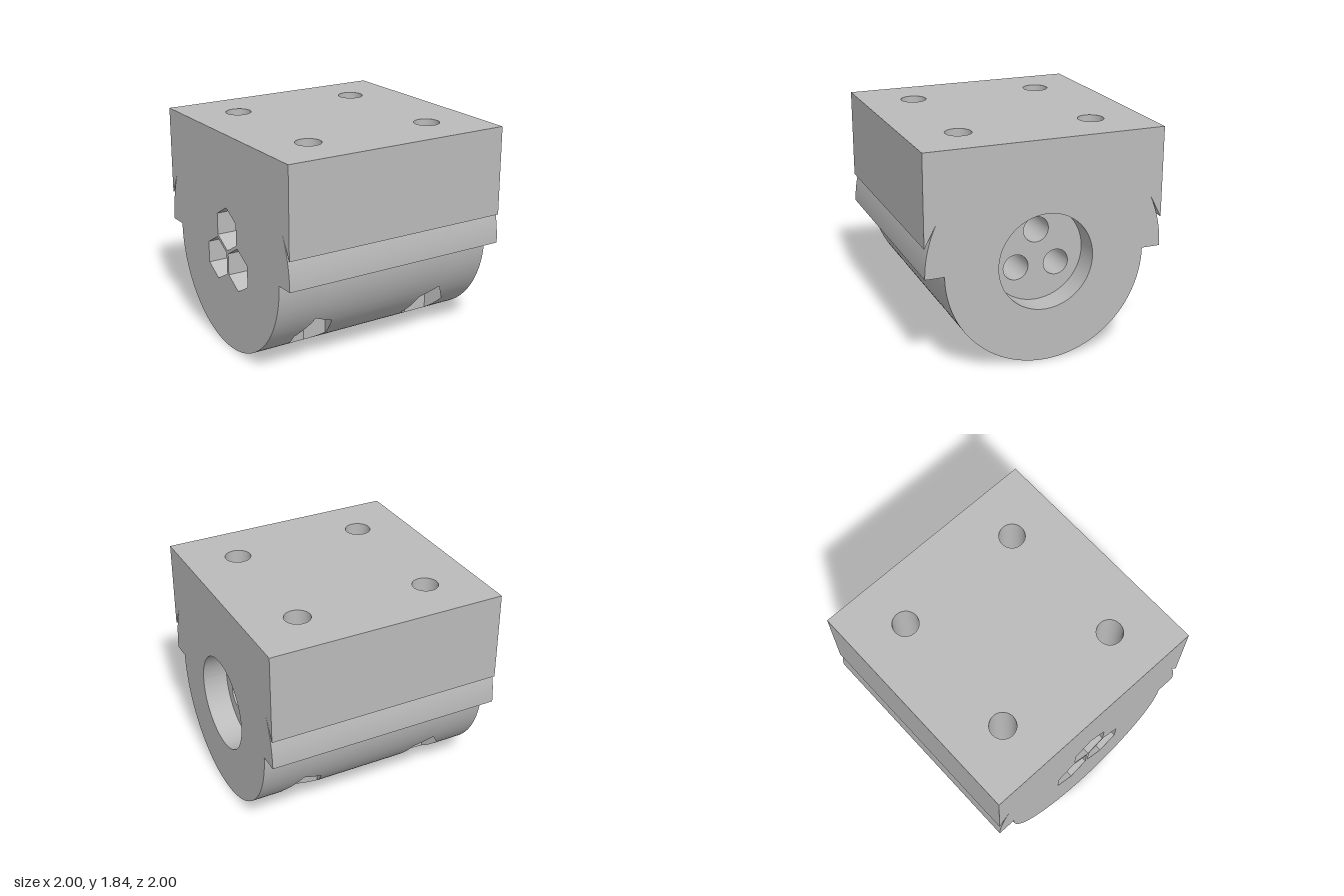
import * as THREE from 'three';

const C = 0.842, R = 0.842, TOP = 1.84;   // drum axis height, drum radius, block top
const BOLT = 0.565, BORE = 0.107;         // bolt offset and bore radius
const HEX = 0.184;                        // nut pocket corner radius
const NUT_Y = 0.85, NUT_X = -0.5;         // nut pocket floors
const RECESS = 0.4, RECESS_X = 0.79;      // round recess radius and floor
const rad = THREE.MathUtils.degToRad;

// Smooth surface through rows of [x, y, z] points
function sheet(rows) {
  const n = rows[0].length, index = [];
  for (let r = 0; r < rows.length - 1; r++) {
    for (let c = 0; c < n - 1; c++) {
      const a = r * n + c, b = a + n;
      index.push(a, b, a + 1, b, b + 1, a + 1);
    }
  }
  const g = new THREE.BufferGeometry();
  g.setAttribute('position', new THREE.Float32BufferAttribute(rows.flat(2), 3));
  g.setIndex(index);
  g.computeVertexNormals();
  return g;
}

// Points of a regular polygon or circle, closed
function ring(cx, cy, radius, sides, startDeg = 0) {
  return Array.from({ length: sides + 1 }, (_, i) => {
    const t = rad(startDeg) + (i / sides) * Math.PI * 2;
    return [cx + radius * Math.cos(t), cy + radius * Math.sin(t)];
  });
}
const toPath = (pts, Type = THREE.Path) =>
  new Type(pts.slice(0, -1).map(p => new THREE.Vector2(p[0], p[1])));

// Flat plate outline with holes, in the XY plane
function plate(outline, holes) {
  const s = toPath(outline, THREE.Shape);
  s.holes = holes.map(h => toPath(h));
  return new THREE.ShapeGeometry(s);
}

const drumY = z => C - Math.sqrt(Math.max(0, R * R - z * z));

// Where a nut pocket opens along x at depth z
function pocketSpan(z) {
  const reach = HEX * Math.cos(rad(15));
  const dz = THREE.MathUtils.clamp(Math.abs(z) - BOLT, -reach, reach);
  let lo = -Infinity, hi = Infinity;
  for (let k = 0; k < 6; k++) {
    const t = rad(45 + 60 * k), c = Math.cos(t);
    const x = (HEX * Math.cos(rad(30)) - dz * Math.sin(t)) / c;
    if (c > 0) hi = Math.min(hi, x); else lo = Math.max(lo, x);
  }
  return [BOLT + lo, BOLT + Math.max(lo, hi)];
}

export function createModel() {
  const model = new THREE.Group();
  const grey = new THREE.MeshStandardMaterial({ color: 0xbbbbbb, side: THREE.DoubleSide });
  grey.name = 'plain grey';
  const add = (name, geometry) => {
    const m = new THREE.Mesh(geometry, grey);
    m.name = name;
    model.add(m);
    return m;
  };

  // Front and back block walls, slits, curved lips and steps
  const lip = [];
  for (let i = 0; i <= 16; i++) {
    const t = Math.asin(0.438) * (1 - i / 16);
    lip.push([Math.cos(t), C + Math.sin(t)]);
  }
  const strips = {
    blockWall: [[1, TOP], [1, 1.09]],
    slit: [[1, 1.09], lip[0]],
    lip,
    step: [[1, C], [R, C]],
  };
  for (const s of [1, -1]) {
    for (const [name, pts] of Object.entries(strips)) {
      const line = s > 0 ? pts : [...pts].reverse();
      add(name, sheet(line.map(([z, y]) => [[-1, y, s * z], [1, y, s * z]])));
    }
  }

  // Round underside, cut around the four nut pockets
  const zs = [];
  for (let i = 0; i <= 96; i++) zs.push(R * Math.cos((i / 96) * Math.PI));
  for (const s of [1, -1]) {
    for (const d of [15, 45, 75]) {
      const h = HEX * Math.cos(rad(d));
      zs.push(s * (BOLT + h), s * (BOLT - h));
    }
  }
  zs.sort((a, b) => b - a);
  const spans = [
    z => [-1, -pocketSpan(z)[1]],
    z => [-pocketSpan(z)[0], pocketSpan(z)[0]],
    z => [pocketSpan(z)[1], 1],
  ];
  for (const span of spans) {
    add('drumUnderside', sheet(zs.map(z => span(z).map(x => [x, drumY(z), z]))));
  }

  // Top face with bolt holes
  const corners = [[1, 1], [-1, 1], [-1, -1], [1, -1]];
  const square = [...corners, corners[0]];
  const boltRings = corners.map(([x, z]) => ring(x * BOLT, z * BOLT, BORE, 48));
  add('topFace', plate(square, boltRings).rotateX(-Math.PI / 2)).position.y = TOP;

  // Vertical bolt bores and their hexagonal nut pockets
  corners.forEach(([sx, sz], q) => {
    add('boltBore', sheet(boltRings[q].map(([x, z]) => [[x, NUT_Y, z], [x, TOP, z]])));
    const hex = ring(sx * BOLT, sz * BOLT, HEX, 6, 15 + 90 * q);
    for (let k = 0; k < 6; k++) {
      const rows = [];
      for (let i = 0; i <= 10; i++) {
        const x = THREE.MathUtils.lerp(hex[k][0], hex[k + 1][0], i / 10);
        const z = THREE.MathUtils.lerp(hex[k][1], hex[k + 1][1], i / 10);
        rows.push([[x, drumY(z), z], [x, NUT_Y, z]]);
      }
      add('nutPocketWall', sheet(rows));
    }
    add('nutPocketFloor', plate(hex, [boltRings[q]]).rotateX(Math.PI / 2)).position.y = NUT_Y;
  });

  // End faces: round recess on one, three hexagonal pockets on the other
  const half = [...strips.blockWall, ...lip];
  for (let i = 0; i <= 48; i++) {
    const t = (i / 96) * Math.PI;
    half.push([R * Math.cos(t), C - R * Math.sin(t)]);
  }
  const mirrored = half.slice(0, -1).reverse().map(([z, y]) => [-z, y]);
  const profile = [...half, ...mirrored, half[0]];
  const centres = [90, 210, 330].map(d => [0.2 * Math.cos(rad(d)), C + 0.2 * Math.sin(rad(d))]);
  const axleRings = centres.map(([z, y]) => ring(z, y, BORE, 48));
  const axleHexes = centres.map(([z, y]) => ring(z, y, HEX, 6, 30));
  const recess = ring(0, C, RECESS, 80);
  add('recessEndFace', plate(profile, [recess]).rotateY(Math.PI / 2)).position.x = 1;
  add('pocketEndFace', plate(profile, axleHexes).rotateY(-Math.PI / 2)).position.x = -1;

  // Round recess
  add('recessWall', sheet(recess.map(([z, y]) => [[RECESS_X, y, z], [1, y, z]])));
  add('recessFloor', plate(recess, axleRings).rotateY(Math.PI / 2)).position.x = RECESS_X;

  // Three horizontal bores ending in hexagonal pockets
  axleRings.forEach((circle, i) => {
    add('axleBore', sheet(circle.map(([z, y]) => [[NUT_X, y, z], [RECESS_X, y, z]])));
    const hex = axleHexes[i];
    for (let k = 0; k < 6; k++) {
      add('axlePocketWall', sheet([hex[k], hex[k + 1]].map(([z, y]) => [[-1, y, z], [NUT_X, y, z]])));
    }
    add('axlePocketFloor', plate(hex, [circle]).rotateY(-Math.PI / 2)).position.x = NUT_X;
  });

  return model;
}
